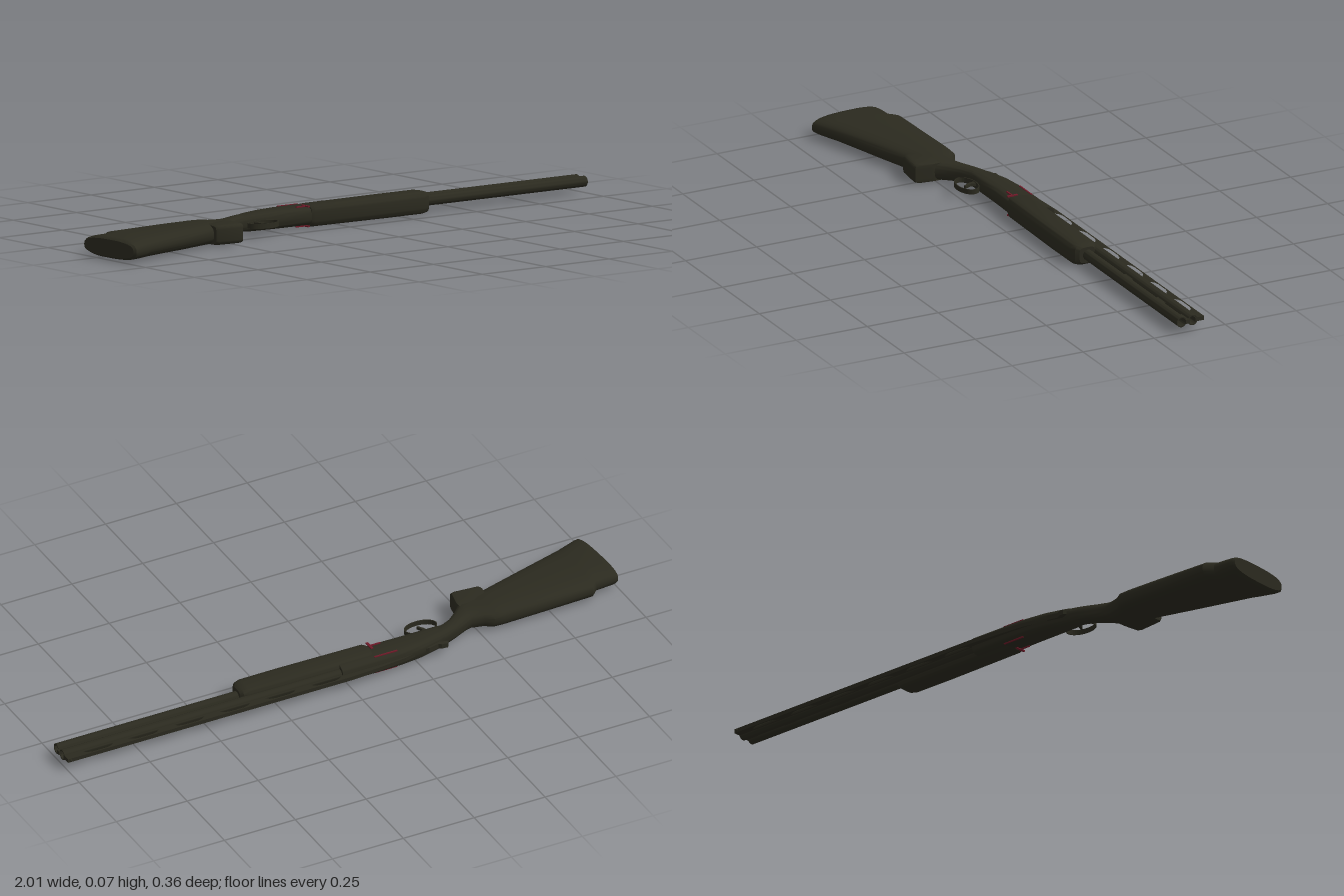
import * as THREE from 'three';
import { toCreasedNormals } from 'three/addons/utils/BufferGeometryUtils.js';

const CY = 0.039; // mid-plane of the piece, which lies on its side

// Loft of rounded sections along x; each station is [x, zTop, zBottom, halfWidth, slant]
function loft(stations, power = 3, n = 32) {
  const pos = [], idx = [];
  const soft = (v) => Math.sign(v) * Math.pow(Math.abs(v), 2 / power);
  for (const [x, z0, z1, w, slant = 0] of stations) {
    for (let j = 0; j < n; j++) {
      const t = (j / n) * Math.PI * 2, s = soft(Math.sin(t));
      pos.push(x + slant * s, CY + w * soft(Math.cos(t)), (z0 + z1) / 2 + ((z1 - z0) / 2) * s);
    }
  }
  const last = stations.length - 1;
  for (let i = 0; i < last; i++) {
    for (let j = 0; j < n; j++) {
      const k = (j + 1) % n, a = i * n + j, b = i * n + k;
      idx.push(a, b, a + n, b, b + n, a + n);
    }
  }
  // End caps
  for (const i of [0, last]) {
    const [x, z0, z1] = stations[i], c = pos.length / 3;
    pos.push(x, CY, (z0 + z1) / 2);
    for (let j = 0; j < n; j++) {
      const a = i * n + j, b = i * n + ((j + 1) % n);
      if (i === 0) idx.push(c, b, a); else idx.push(c, a, b);
    }
  }
  const g = new THREE.BufferGeometry();
  g.setAttribute('position', new THREE.Float32BufferAttribute(pos, 3));
  g.setIndex(idx);
  return toCreasedNormals(g, 0.6);
}

// Flat part drawn in x/z and given a thickness in y around the mid-plane
function plate(shape, depth) {
  const g = new THREE.ExtrudeGeometry(shape, { depth, bevelEnabled: false, curveSegments: 20 });
  g.rotateX(-Math.PI / 2);
  g.translate(0, CY - depth / 2, 0);
  return g;
}
const outline = (pts, Type = THREE.Shape) => new Type(pts.map(([x, z]) => new THREE.Vector2(x, -z)));

export function createModel() {
  const group = new THREE.Group();
  const olive = new THREE.MeshStandardMaterial({ color: 0x2b2a1f });
  olive.name = 'dark olive';
  const red = new THREE.MeshStandardMaterial({ color: 0x6e1a28 });
  red.name = 'dull red';
  const add = (name, geometry, material = olive) => {
    const mesh = new THREE.Mesh(geometry, material);
    mesh.name = name;
    group.add(mesh);
    return mesh;
  };

  // Stock with slanted butt, raised comb and slim neck
  add('stock', loft([
    [-0.993, -0.064, 0.17, 0.027, 0.007], [-0.986, -0.069, 0.177, 0.032, 0.007],
    [-0.972, -0.071, 0.174, 0.034, 0.006], [-0.92, -0.074, 0.156, 0.035], [-0.895, -0.099, 0.147, 0.035],
    [-0.7, -0.102, 0.089, 0.036], [-0.58, -0.104, 0.053, 0.035], [-0.545, -0.102, 0.045, 0.034],
    [-0.52, -0.086, 0.04, 0.032], [-0.48, -0.075, 0.03, 0.031], [-0.465, -0.077, 0.005, 0.03],
    [-0.44, -0.088, -0.02, 0.028], [-0.41, -0.102, -0.045, 0.027], [-0.38, -0.114, -0.059, 0.027],
    [-0.34, -0.127, -0.066, 0.027],
  ], 2.8));

  // Boxy flare below the grip
  add('gripFlare', loft([
    [-0.577, -0.02, 0.064, 0.029], [-0.57, -0.02, 0.068, 0.032], [-0.49, -0.02, 0.076, 0.032],
    [-0.478, -0.02, 0.073, 0.031], [-0.468, -0.02, 0.02, 0.029],
  ], 6));

  // Receiver
  add('receiver', loft([
    [-0.38, -0.112, -0.06, 0.024], [-0.34, -0.128, -0.06, 0.028], [-0.27, -0.147, -0.06, 0.03],
    [-0.2, -0.155, -0.06, 0.031], [-0.12, -0.158, -0.058, 0.031], [0.02, -0.158, -0.065, 0.031],
  ], 3.2));

  // Forend
  add('forend', loft([
    [-0.105, -0.132, -0.058, 0.031], [-0.095, -0.136, -0.053, 0.035], [0.2, -0.136, -0.049, 0.036],
    [0.335, -0.135, -0.05, 0.036], [0.355, -0.131, -0.056, 0.033], [0.364, -0.122, -0.068, 0.026],
  ], 4));

  // Two stacked barrels with open bores
  const r = 0.0172;
  const profile = [[r, -0.1], [r, 1], [0.0135, 1], [0.0135, 0.9], [0, 0.9]].map(([a, b]) => new THREE.Vector2(a, b));
  for (const [name, z] of [['upperBarrel', -0.136], ['lowerBarrel', -0.097]]) {
    const barrel = new THREE.LatheGeometry(profile, 28);
    barrel.rotateZ(-Math.PI / 2);
    barrel.translate(0, CY, z);
    add(name, toCreasedNormals(barrel, 0.6));
  }
  for (const x of [0.6, 0.82, 0.98]) {
    add('barrelSpacer', new THREE.BoxGeometry(0.05, 0.014, 0.014)).position.set(x, CY, -0.1165);
  }

  // Ventilated rib with arched windows
  const rib = outline([
    [-0.28, -0.14], [-0.2, -0.16], [-0.1, -0.17], [0, -0.176], [1, -0.176], [1, -0.145], [-0.1, -0.14],
  ]);
  for (let i = 0; i < 6; i++) {
    const x = 0.08 + i * 0.161;
    rib.holes.push(outline([
      [x - 0.055, -0.157], [x - 0.042, -0.167], [x - 0.025, -0.171],
      [x + 0.025, -0.171], [x + 0.042, -0.167], [x + 0.055, -0.157],
    ], THREE.Path));
  }
  add('rib', plate(rib, 0.013));
  add('frontBead', new THREE.SphereGeometry(0.004, 12, 8)).position.set(0.99, CY, -0.176);

  // Trigger guard and trigger
  const guard = new THREE.Shape().absellipse(-0.322, 0.027, 0.056, 0.034, 0, Math.PI * 2);
  guard.holes.push(new THREE.Path().absellipse(-0.322, 0.027, 0.053, 0.031, 0, Math.PI * 2));
  add('triggerGuard', plate(guard, 0.016));
  add('trigger', plate(outline([
    [-0.338, -0.065], [-0.318, -0.065], [-0.322, -0.04], [-0.312, -0.018], [-0.318, -0.016], [-0.331, -0.036],
  ]), 0.009));

  // Opening lever behind the receiver
  add('topLever', plate(outline([
    [-0.362, -0.14], [-0.355, -0.149], [-0.335, -0.147], [-0.325, -0.14], [-0.29, -0.148],
    [-0.27, -0.14], [-0.32, -0.122], [-0.345, -0.133],
  ]), 0.016));

  // Red trim on both sides of the receiver: [x, z, length, height, offset from mid-plane]
  const trim = [
    [-0.114, -0.08, 0.008, 0.036, 0.0315], [-0.135, -0.08, 0.034, 0.005, 0.031],
    [-0.14, -0.14, 0.08, 0.005, 0.0285],
  ];
  for (const side of [-1, 1]) {
    for (const [x, z, w, d, off] of trim) {
      add('redTrim', new THREE.BoxGeometry(w, 0.004, d), red).position.set(x, CY + side * off, z);
    }
  }
  return group;
}
